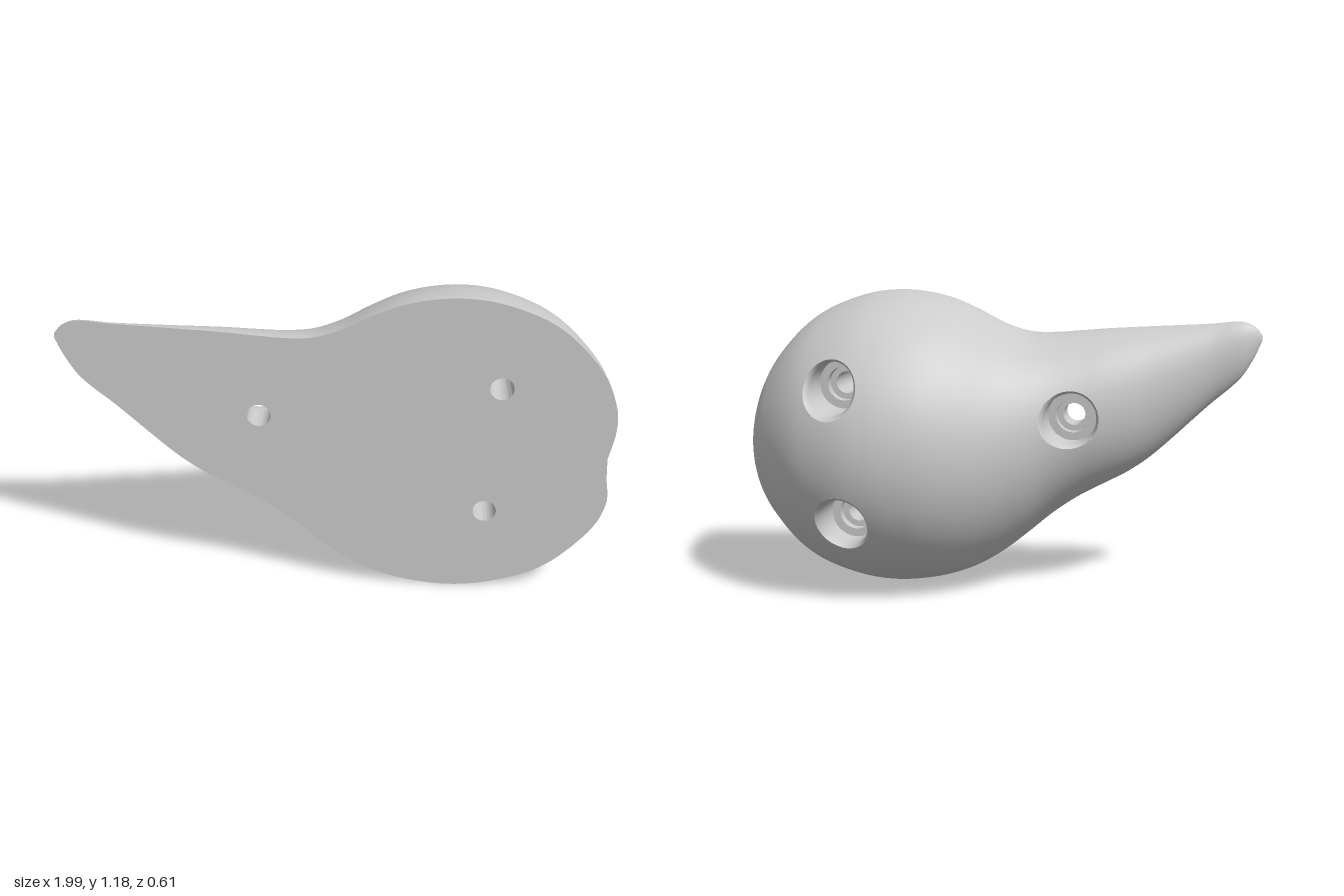
import * as THREE from 'three';
import { toCreasedNormals } from 'three/addons/utils/BufferGeometryUtils.js';

const FRONT = 0.305;
// Cross-sections along x: x, lower edge, upper edge, height above the flat face
const SECTIONS = [
  [-1, 1.0, 1.02, 0.005], [-0.97, 0.93, 1.052, 0.025], [-0.92, 0.85, 1.07, 0.05],
  [-0.8, 0.74, 1.06, 0.085], [-0.6, 0.55, 1.048, 0.165], [-0.5, 0.475, 1.042, 0.21],
  [-0.4, 0.42, 1.035, 0.25], [-0.3, 0.365, 1.026, 0.285], [-0.2, 0.295, 1.018, 0.33],
  [-0.1, 0.21, 1.02, 0.39], [0, 0.13, 1.05, 0.45], [0.1, 0.07, 1.1, 0.51],
  [0.2, 0.032, 1.143, 0.56], [0.3, 0.01, 1.168, 0.592], [0.42, 0, 1.178, 0.61],
  [0.55, 0.014, 1.163, 0.602], [0.7, 0.06, 1.11, 0.553], [0.8, 0.12, 1.045, 0.488],
  [0.9, 0.22, 0.94, 0.39], [0.95, 0.29, 0.86, 0.32], [0.98, 0.36, 0.78, 0.255],
  [0.993, 0.41, 0.72, 0.21], [1, 0.48, 0.64, 0.15],
];
// Bolt holes: centre and depth of the bolt seat
const HOLES = [
  { x: -0.29, y: 0.71, seat: 0.15 },
  { x: 0.575, y: 0.835, seat: -0.02 },
  { x: 0.535, y: 0.33, seat: -0.02 },
];
const MOUTH = 0.11, BORE = 0.097, STEP = 0.066, BOLT = 0.043;

// Smooth interpolation of the section table
function section(x) {
  let k = 0;
  while (k < SECTIONS.length - 2 && x > SECTIONS[k + 1][0]) k++;
  const a = SECTIONS[k], b = SECTIONS[k + 1];
  const p = SECTIONS[Math.max(k - 1, 0)], n = SECTIONS[Math.min(k + 2, SECTIONS.length - 1)];
  const d = b[0] - a[0], t = (x - a[0]) / d, t2 = t * t, t3 = t2 * t;
  const [lo, hi, h] = [1, 2, 3].map((c) => {
    const m0 = (b[c] - p[c]) / (b[0] - p[0]) * d, m1 = (n[c] - a[c]) / (n[0] - a[0]) * d;
    return (2 * t3 - 3 * t2 + 1) * a[c] + (t3 - 2 * t2 + t) * m0
      + (3 * t2 - 2 * t3) * b[c] + (t3 - t2) * m1;
  });
  return { mid: (lo + hi) / 2, half: (hi - lo) / 2, h };
}

// Depth of the rounded back at a point of the plan
function surfaceZ(x, y) {
  const s = section(x), v = (y - s.mid) / s.half;
  return FRONT - s.h * Math.sqrt(Math.max(0, 1 - v * v));
}

// Shallow dent at the blunt end, beside the flat face
function dentedX(x, y, z) {
  return x - 0.035 * THREE.MathUtils.smoothstep(x, 0.8, 1)
    * Math.exp(-(((y - 0.53) / 0.12) ** 2) - ((FRONT - z) / 0.14) ** 2);
}

function meshGeometry(positions, index) {
  const g = new THREE.BufferGeometry();
  g.setAttribute('position', new THREE.Float32BufferAttribute(positions, 3));
  g.setIndex(index);
  return g;
}

// Rounded body with open hole mouths; also returns its rim for the flat face
function buildBody() {
  const N = 150, M = 100, pos = [], inside = [], index = [], lower = [], upper = [];
  for (let i = 0; i <= N + 1; i++) {
    const x0 = -Math.cos(Math.PI * Math.min(i, N) / N), s = section(x0);
    const scale = i > N ? 0 : 1;
    for (let j = 0; j <= M; j++) {
      const a = Math.PI * (j / M - 0.5);
      let x = x0, y = s.mid + scale * s.half * Math.sin(a);
      let z = FRONT - scale * s.h * Math.cos(a), hit = false;
      for (const hole of HOLES) {
        const dx = x - hole.x, dy = y - hole.y, r = Math.hypot(dx, dy);
        if (r < MOUTH) {
          // Snap to the mouth circle
          hit = true;
          x = hole.x + dx / (r || 1) * MOUTH;
          y = hole.y + dy / (r || 1) * MOUTH;
          z = surfaceZ(x, y);
          break;
        }
      }
      x = dentedX(x, y, z);
      pos.push(x, y, z);
      inside.push(hit);
      if (i <= N && j === 0) lower.push(new THREE.Vector2(x, y));
      if (i <= N && j === M) upper.push(new THREE.Vector2(x, y));
    }
  }
  const face = (...f) => { if (!f.every((v) => inside[v])) index.push(...f); };
  for (let i = 0; i <= N; i++) {
    for (let j = 0; j < M; j++) {
      const a = i * (M + 1) + j, b = a + M + 1;
      face(a, a + 1, b);
      face(b, a + 1, b + 1);
    }
  }
  const geometry = meshGeometry(pos, index);
  geometry.computeVertexNormals();
  // Close the flat end between the last rim points along the dent
  const end = new THREE.Vector2(dentedX(1, section(1).mid, FRONT), section(1).mid);
  return { geometry, rim: [...lower, end, ...upper.reverse()] };
}

// Stepped bore from the rounded surface to the flat face
function buildBore({ x, y, seat }) {
  const S = 48, pos = [], index = [];
  const rings = [
    [MOUTH, (z) => z], [0.101, (z) => z + 0.012], [BORE, (z) => z + 0.035],
    [BORE, () => seat], [STEP, () => seat], [STEP, () => seat + 0.04],
    [BOLT, () => seat + 0.04], [BOLT, () => FRONT],
  ];
  rings.forEach(([r, depth], k) => {
    for (let i = 0; i < S; i++) {
      const a = 2 * Math.PI * i / S, c = Math.cos(a), s = Math.sin(a);
      pos.push(x + r * c, y + r * s, depth(surfaceZ(x + MOUTH * c, y + MOUTH * s)));
      if (k === rings.length - 1) continue;
      const p = k * S + i, q = k * S + (i + 1) % S;
      index.push(p, p + S, q, q, p + S, q + S);
    }
  });
  return toCreasedNormals(meshGeometry(pos, index), 0.7);
}

export function createModel() {
  const model = new THREE.Group();
  const material = new THREE.MeshStandardMaterial({ color: 0xcccccc });
  const boreMaterial = new THREE.MeshStandardMaterial({ color: 0xcccccc, side: THREE.DoubleSide });
  const add = (name, geometry, mat = material) => {
    const mesh = new THREE.Mesh(geometry, mat);
    mesh.name = name;
    model.add(mesh);
  };

  const body = buildBody();
  add('roundedBody', body.geometry);

  // Flat mounting face with bolt holes
  const plate = new THREE.Shape(body.rim);
  for (const h of HOLES) plate.holes.push(new THREE.Path().absarc(h.x, h.y, BOLT, 0, Math.PI * 2, true));
  add('mountingFace', new THREE.ShapeGeometry(plate, 24).translate(0, 0, FRONT));

  HOLES.forEach((h, i) => add(`boltHole${i + 1}`, buildBore(h), boreMaterial));
  return model;
}
